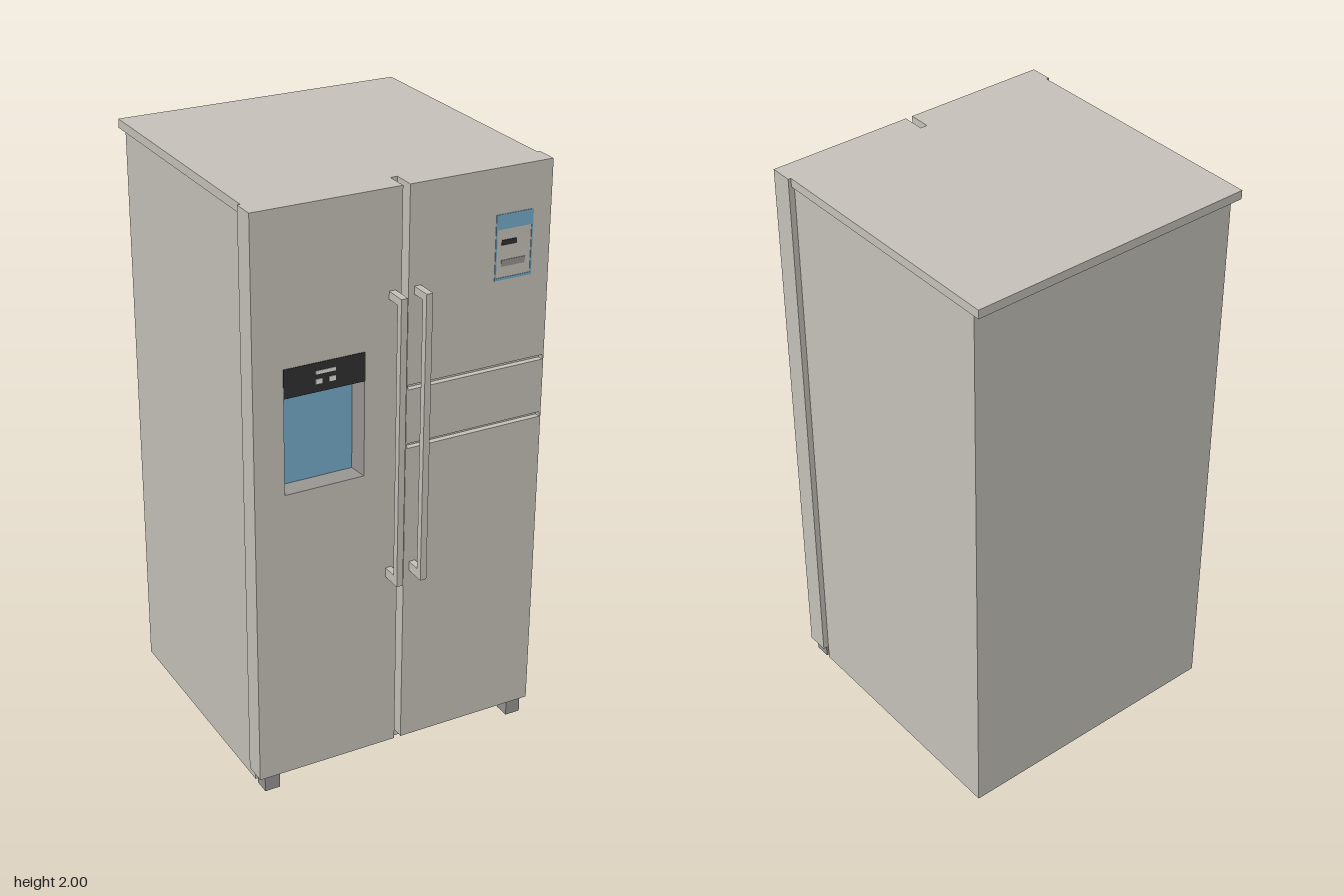
import * as THREE from 'three';

const mat = (name, color, side = THREE.FrontSide) => {
  const m = new THREE.MeshStandardMaterial({ color, side });
  m.name = name;
  return m;
};

export function createModel() {
  const group = new THREE.Group();
  const steel = mat('warm steel', 0xc8c4bc);
  const grey = mat('mid grey', 0x979693);
  const blue = mat('light blue', 0x77adcb);
  const black = mat('panel black', 0x2f312f);
  const white = mat('marking white', 0xe4e4e0);

  const add = (name, geometry, material, parent = group) => {
    const mesh = new THREE.Mesh(geometry, material);
    mesh.name = name;
    parent.add(mesh);
    return mesh;
  };
  // Box given by its lower and upper limits on each axis
  const box = (name, material, x0, x1, y0, y1, z0, z1, parent) => {
    const g = new THREE.BoxGeometry(x1 - x0, y1 - y0, z1 - z0);
    g.translate((x0 + x1) / 2, (y0 + y1) / 2, (z0 + z1) / 2);
    return add(name, g, material, parent);
  };
  const rect = (Type, x0, x1, y0, y1) => new Type([
    new THREE.Vector2(x0, y0), new THREE.Vector2(x1, y0),
    new THREE.Vector2(x1, y1), new THREE.Vector2(x0, y1),
  ]);
  const BACK = 0.375, FRONT = 0.452;

  // Slab with rectangular openings, used for the doors and the label border
  const panel = (name, material, outer, holes, z0, z1) => {
    const shape = rect(THREE.Shape, ...outer);
    holes.forEach((h) => shape.holes.push(rect(THREE.Path, ...h)));
    const g = new THREE.ExtrudeGeometry(shape, { depth: z1 - z0, bevelEnabled: false });
    g.translate(0, 0, z0);
    return add(name, g, material);
  };

  // Cabinet and overhanging lid
  box('cabinet', steel, -0.49, 0.49, 0.004, 1.97, -0.493, BACK);
  box('lid', steel, -0.5, 0.5, 1.97, 2, -0.525, BACK);

  // Doors: dispenser opening on one, two grooves on the other
  const recess = [-0.408, -0.135, 1.077, 1.4];
  const grooves = [[0.016, 0.505, 1.135, 1.151], [0.016, 0.505, 1.336, 1.352]];
  panel('freezerDoor', steel, [-0.51, -0.012, 0.056, 2], [recess], BACK, FRONT);
  panel('fridgeDoor', steel, [0.012, 0.51, 0.056, 2], grooves, BACK, FRONT);
  for (const [x0, x1, y0, y1] of grooves) {
    box('grooveFloor', steel, x0, x1, y0, y1, BACK, FRONT - 0.02);
  }

  // Dispenser recess: walls tapering to a blue back plate
  const inner = [-0.388, -0.15, 1.086, 1.396], depthZ = 0.4;
  const corners = ([x0, x1, y0, y1], z) => [[x0, y0, z], [x1, y0, z], [x1, y1, z], [x0, y1, z]];
  const a = corners(recess, FRONT), b = corners(inner, depthZ);
  const points = [];
  for (let i = 0; i < 4; i++) {
    const j = (i + 1) % 4;
    points.push(...a[i], ...a[j], ...b[j], ...a[i], ...b[j], ...b[i]);
  }
  const walls = new THREE.BufferGeometry();
  walls.setAttribute('position', new THREE.Float32BufferAttribute(points, 3));
  walls.computeVertexNormals();
  add('dispenserWalls', walls, grey);
  box('dispenserBack', blue, ...inner, depthZ - 0.005, depthZ);

  // Dispenser control panel
  box('controlPanel', black, -0.409, -0.134, 1.4, 1.496, FRONT - 0.002, FRONT + 0.002);
  const mark = [FRONT, FRONT + 0.004];
  box('controlDisplay', white, -0.303, -0.235, 1.459, 1.47, ...mark);
  for (const x of [-0.303, -0.257]) {
    box('controlButton', white, x, x + 0.022, 1.427, 1.443, ...mark);
  }

  // Energy label on the fridge door
  const label = [FRONT - 0.001, FRONT + 0.002];
  panel('labelBorder', blue, [0.314, 0.446, 1.637, 1.851], [[0.319, 0.441, 1.645, 1.802]], ...label);
  box('labelDarkBar', black, 0.336, 0.389, 1.75, 1.767, ...label);
  box('labelGreyBar', grey, 0.336, 0.421, 1.681, 1.702, ...label);

  // Handles and feet, mirrored left and right
  for (const side of [-1, 1]) {
    const handle = new THREE.Group();
    handle.name = side > 0 ? 'leftHandle' : 'rightHandle';
    group.add(handle);
    const c = side * 0.043, x0 = c - 0.011, x1 = c + 0.011;
    box('grip', steel, x0, x1, 0.693, 1.676, 0.502, 0.525, handle);
    box('upperMount', steel, x0, x1, 1.65, 1.676, FRONT, 0.502, handle);
    box('lowerMount', steel, x0, x1, 0.693, 0.726, FRONT, 0.502, handle);

    const f = side * 0.462;
    box('foot', grey, f - 0.027, f + 0.027, 0, 0.056, 0.39, 0.445);
  }
  return group;
}
